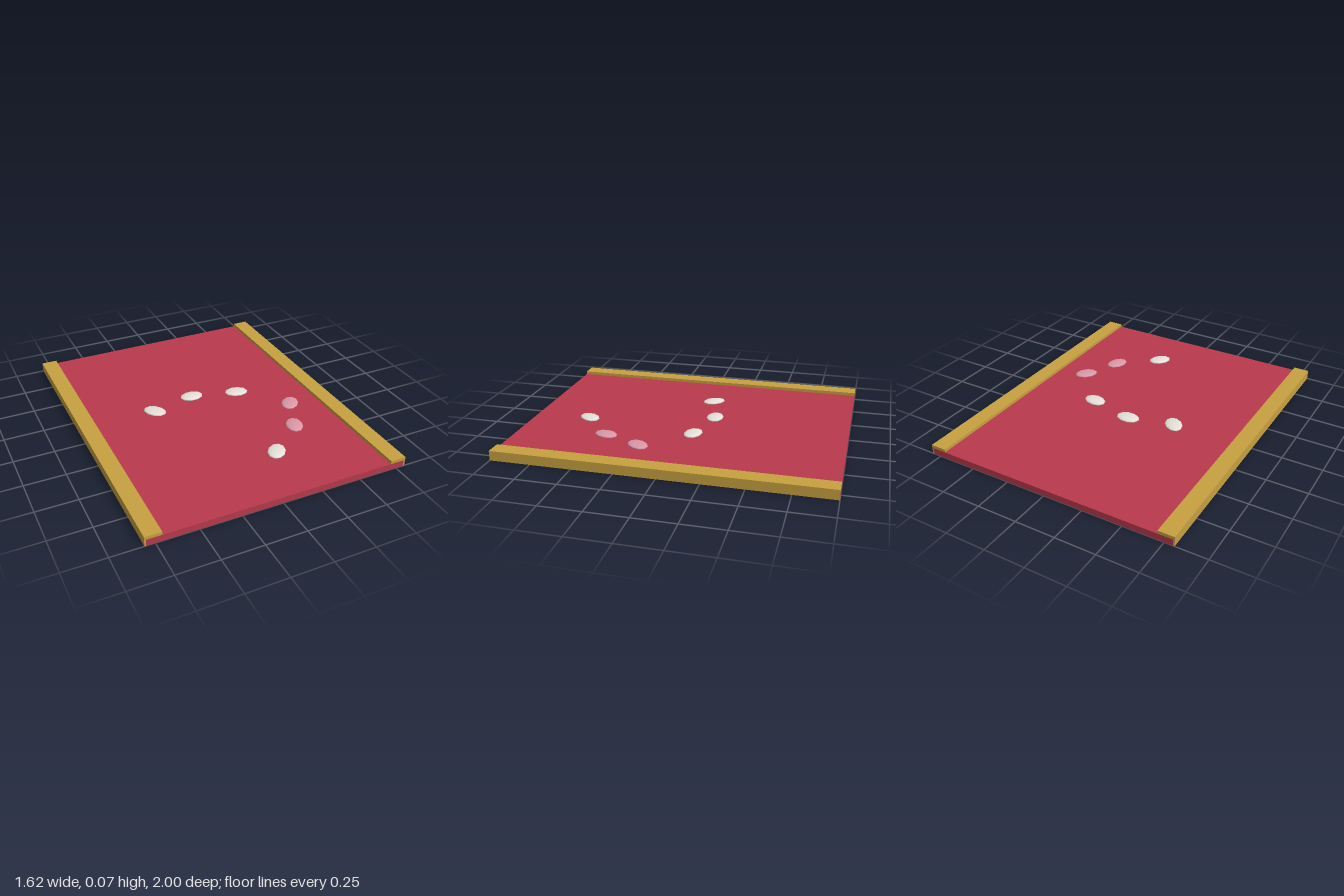
import * as THREE from 'three';

const material = (name, color) => Object.assign(new THREE.MeshStandardMaterial({ color }), { name });

export function createModel() {
  const group = new THREE.Group();
  group.name = 'carpetWithPetals';
  const red = material('crimson cloth', 0xb93a4c);
  const gold = material('gold trim', 0xc7a040);
  const white = material('white petal', 0xe6e2da);
  const pink = material('pink petal', 0xdc98a8);

  const add = (name, geometry, mat) => {
    const mesh = new THREE.Mesh(geometry, mat);
    mesh.name = name;
    group.add(mesh);
    return mesh;
  };

  // Flat carpet slab
  add('carpet', new THREE.BoxGeometry(1.6, 0.04, 2), red).position.y = 0.02;

  // Gold border on each long side, wrapping over the carpet edge
  for (const side of [1, -1]) {
    const profile = new THREE.Shape(
      [[0.8, 0], [0.81, 0], [0.81, 0.06], [0.71, 0.06], [0.71, 0.04], [0.8, 0.04]]
        .map(([x, y]) => new THREE.Vector2(side * x, y))
    );
    const border = new THREE.ExtrudeGeometry(profile, { depth: 2, bevelEnabled: false });
    border.translate(0, 0, -1);
    add(side > 0 ? 'leftBorder' : 'rightBorder', border, gold);
  }

  // Scattered petals: x, z, turn in degrees, material
  const petalGeometry = new THREE.SphereGeometry(1, 10, 8);
  petalGeometry.scale(0.077, 0.013, 0.054);
  const petals = [
    [-0.32, -0.08, -50, white],
    [-0.034, -0.15, 0, white],
    [0.258, -0.077, -12, white],
    [0.508, 0.197, 50, pink],
    [0.402, 0.432, 70, pink],
    [0.164, 0.63, 52, white],
  ];
  petals.forEach(([x, z, turn, mat], i) => {
    const petal = add(`petal${i + 1}`, petalGeometry, mat);
    petal.position.set(x, 0.058, z);
    petal.rotation.y = THREE.MathUtils.degToRad(turn);
  });

  return group;
}
